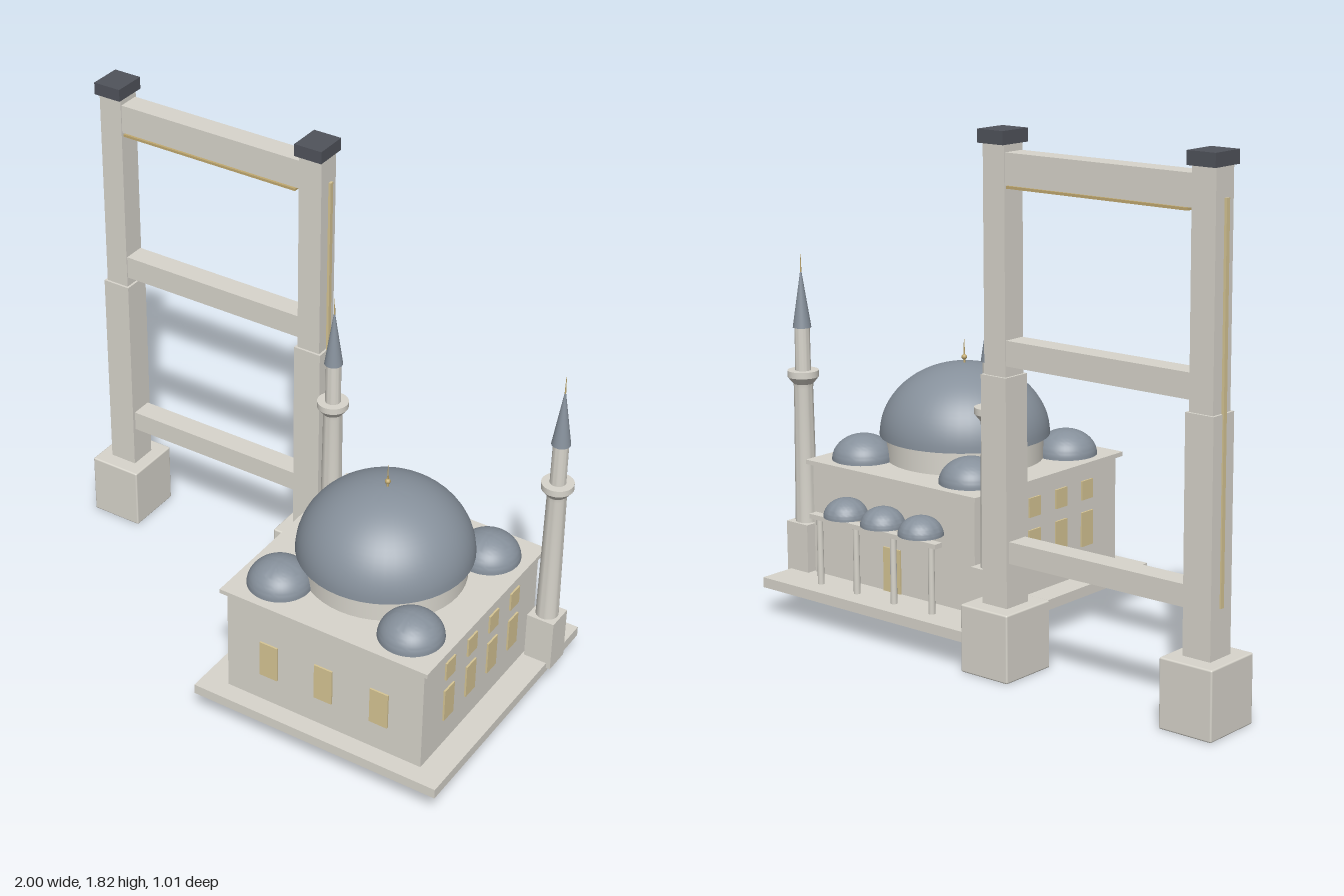
import * as THREE from 'three';
import { RoundedBoxGeometry } from 'three/addons/geometries/RoundedBoxGeometry.js';
import { toCreasedNormals } from 'three/addons/utils/BufferGeometryUtils.js';

const material = (name, color) => Object.assign(new THREE.MeshStandardMaterial({ color }), { name });

export function createModel() {
  const stone = material('pale stone', 0xd8d5cc);
  const slate = material('slate blue', 0x87919c);
  const dark = material('dark grey', 0x50535b);
  const gold = material('pale gold', 0xd6c594);
  const brass = material('brass', 0xc0a970);

  const model = new THREE.Group();
  model.name = 'towerAndDomedHall';

  const add = (parent, name, geometry, mat, x, y, z) => {
    const mesh = new THREE.Mesh(geometry, mat);
    mesh.name = name;
    mesh.position.set(x, y, z);
    parent.add(mesh);
    return mesh;
  };
  // Box given by its centre in x and z and its bottom and top in y
  const box = (parent, name, mat, x, z, w, d, y0, y1, radius = 0) => {
    const h = y1 - y0;
    const geometry = radius ? new RoundedBoxGeometry(w, h, d, 2, radius) : new THREE.BoxGeometry(w, h, d);
    return add(parent, name, geometry, mat, x, (y0 + y1) / 2, z);
  };
  const cylinder = (parent, name, mat, x, z, rTop, rBottom, y0, y1, sides = 32) =>
    add(parent, name, new THREE.CylinderGeometry(rTop, rBottom, y1 - y0, sides), mat, x, (y0 + y1) / 2, z);
  // Flattened half sphere with a closed underside
  const dome = (parent, name, x, y, z, r, h) => {
    const points = [new THREE.Vector2(0, 0)];
    for (let i = 0; i <= 20; i++) {
      const a = (i / 20) * Math.PI / 2;
      points.push(new THREE.Vector2(i === 20 ? 0 : r * Math.cos(a), h * Math.sin(a)));
    }
    const geometry = toCreasedNormals(new THREE.LatheGeometry(points, 48), 0.7);
    return add(parent, name, geometry, slate, x, y, z);
  };
  const group = (name) => {
    const g = new THREE.Group();
    g.name = name;
    model.add(g);
    return g;
  };

  // Bridge tower: two stepped legs joined by three beams
  const tower = group('bridgeTower');
  const tz = -0.395;
  for (const [x, out] of [[-0.898, -1], [-0.07, 1]]) {
    box(tower, 'legFooting', stone, x, tz, 0.203, 0.222, 0, 0.237, 0.006);
    box(tower, 'lowerLeg', stone, x, tz, 0.107, 0.107, 0.23, 1.018);
    box(tower, 'upperLeg', stone, x, tz, 0.09, 0.09, 1.018, 1.78);
    box(tower, 'legCap', dark, x, tz, 0.107, 0.123, 1.775, 1.82);
    box(tower, 'legLightStrip', gold, x + out * 0.054, tz, 0.009, 0.016, 0.4, 1.68);
  }
  for (const [y0, y1] of [[0.39, 0.465], [1.055, 1.14], [1.645, 1.75]]) {
    box(tower, 'crossBeam', stone, -0.484, tz, 0.75, 0.082, y0, y1);
  }
  box(tower, 'beamLightStrip', brass, -0.484, tz, 0.715, 0.1, 1.636, 1.645);

  // Domed hall on its terrace
  const hall = group('domedHall');
  const cx = 0.5, cz = 0.05;
  box(hall, 'terrace', stone, cx, 0, 0.957, 1.008, 0.103, 0.14);
  box(hall, 'hallWalls', stone, cx, cz, 0.766, 0.77, 0.14, 0.543);
  box(hall, 'roofSlab', stone, cx, cz, 0.805, 0.805, 0.541, 0.557);
  cylinder(hall, 'drum', stone, cx, cz, 0.282, 0.282, 0.557, 0.645, 48);
  dome(hall, 'mainDome', cx, 0.643, cz, 0.305, 0.257);
  cylinder(hall, 'finialRod', brass, cx, cz, 0.001, 0.004, 0.895, 0.985, 12);
  add(hall, 'finialBall', new THREE.SphereGeometry(0.01, 16, 10), brass, cx, 0.92, cz);
  for (const sx of [-1, 1]) {
    for (const sz of [-1, 1]) {
      dome(hall, 'cornerDome', cx + sx * 0.256, 0.557, cz + sz * 0.257, 0.113, 0.09);
    }
  }

  // Windows: one row in front, two rows on each side, and a back door
  for (const i of [-1, 0, 1]) {
    box(hall, 'frontWindow', gold, cx + 0.002 + i * 0.217, 0.437, 0.07, 0.009, 0.25, 0.39);
  }
  for (const sx of [-1, 1]) {
    for (let i = 0; i < 4; i++) {
      const z = 0.268 - i * 0.1455;
      box(hall, 'lowerSideWindow', gold, cx + sx * 0.385, z, 0.009, 0.063, 0.245, 0.372);
      box(hall, 'upperSideWindow', gold, cx + sx * 0.385, z, 0.009, 0.06, 0.418, 0.488);
    }
  }
  box(hall, 'backDoor', gold, cx, -0.337, 0.08, 0.009, 0.14, 0.3);

  // Portico along the back wall
  const portico = group('portico');
  box(portico, 'lintel', stone, cx, -0.425, 0.6, 0.034, 0.378, 0.395);
  for (let i = 0; i < 4; i++) {
    const x = cx + (i - 1.5) * 0.177;
    cylinder(portico, 'column', stone, x, -0.425, 0.011, 0.012, 0.14, 0.38, 16);
  }
  for (const i of [-1, 0, 1]) dome(portico, 'porticoDome', cx + i * 0.178, 0.395, -0.381, 0.08, 0.066);

  // Minarets at the two back corners
  const shaft = [[0, 0.31], [0.04, 0.31], [0.034, 0.81], [0.036, 0.825], [0.056, 0.85], [0.056, 0.873],
    [0.028, 0.873], [0.027, 1.03], [0, 1.03]].map(([r, y]) => new THREE.Vector2(r, y));
  const shaftGeometry = toCreasedNormals(new THREE.LatheGeometry(shaft, 32), 0.5);
  for (const x of [0.057, 0.943]) {
    const minaret = group('minaret');
    box(minaret, 'minaretBase', stone, x, -0.315, 0.103, 0.1, 0.12, 0.317);
    add(minaret, 'minaretShaft', shaftGeometry, stone, x, 0, -0.315);
    cylinder(minaret, 'minaretSpire', slate, x, -0.315, 0, 0.033, 1.028, 1.245);
    cylinder(minaret, 'spireNeedle', brass, x, -0.315, 0.001, 0.003, 1.22, 1.29, 8);
  }
  return model;
}
